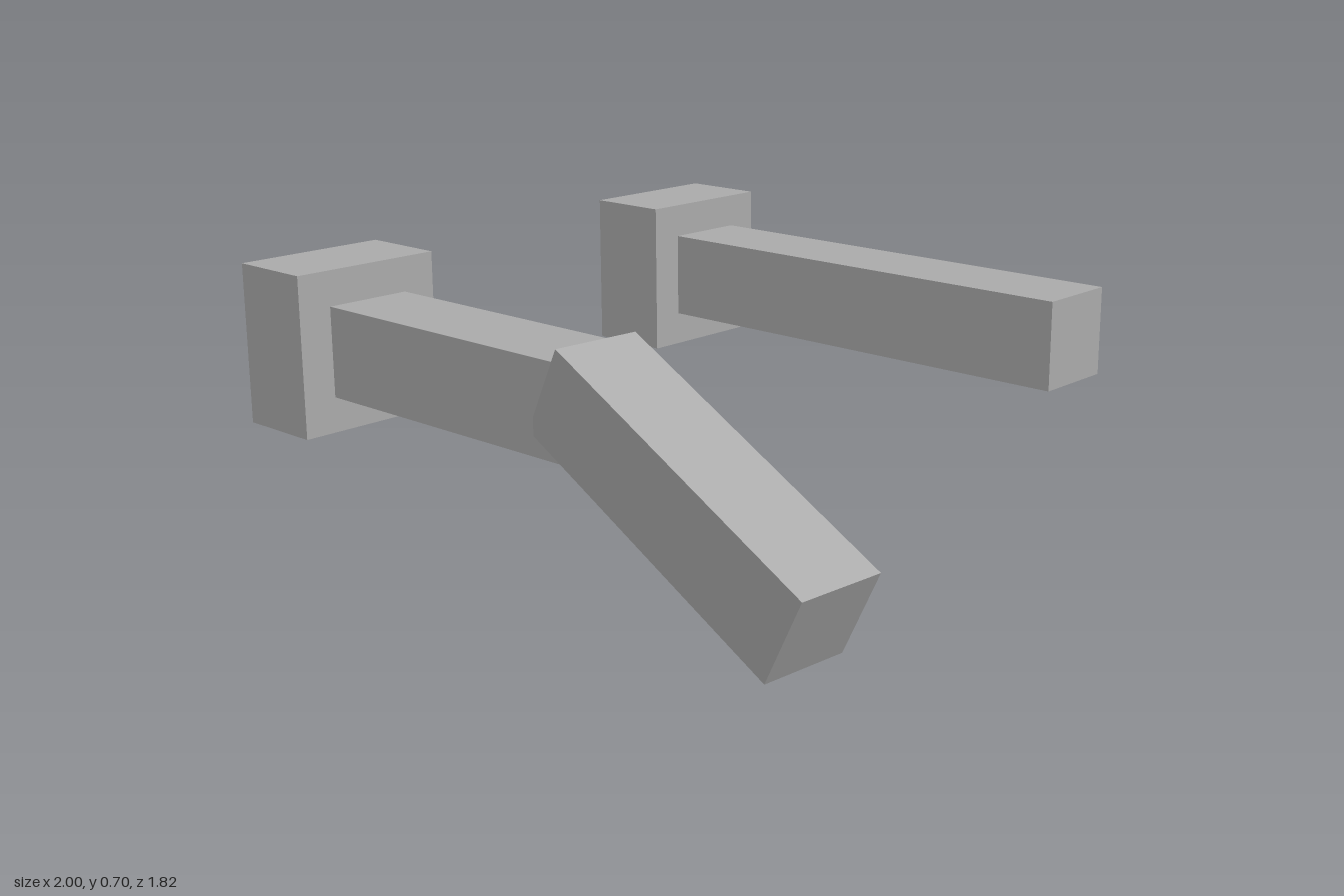
import * as THREE from 'three';

const THICK = 0.255; // square section of the beams

export function createModel() {
  const model = new THREE.Group();
  const grey = new THREE.MeshStandardMaterial({ color: 0xaaaaaa });
  grey.name = 'plain grey';

  const box = (parent, name, size, position) => {
    const mesh = new THREE.Mesh(new THREE.BoxGeometry(...size), grey);
    mesh.name = name;
    mesh.position.set(...position);
    parent.add(mesh);
    return mesh;
  };

  // Square end block with a beam reaching along +x to endX
  const makeArm = (name, z, endX) => {
    const arm = new THREE.Group();
    arm.name = name;
    arm.position.z = z;
    model.add(arm);
    box(arm, 'endBlock', [0.255, 0.455, 0.455], [-0.8725, 0.4765, 0]);
    const length = endX + 0.745;
    box(arm, 'beam', [length, THICK, THICK], [endX - length / 2, 0.4765, 0]);
    return arm;
  };

  makeArm('straightArm', -0.6825, 0.675);
  const bentArm = makeArm('bentArm', 0.6795, 0.168);

  // Drooping outer section, pitched down and turned slightly forward
  const length = 0.923;
  const outer = box(bentArm, 'outerBeam', [length, THICK, THICK], [0, 0, 0]);
  outer.rotation.set(0, THREE.MathUtils.degToRad(-3.8), THREE.MathUtils.degToRad(-26.5), 'YZX');
  const axis = new THREE.Vector3(1, 0, 0).applyEuler(outer.rotation);
  outer.position.set(0.934, 0.1145, 0.0575).addScaledVector(axis, -length / 2);

  return model;
}
